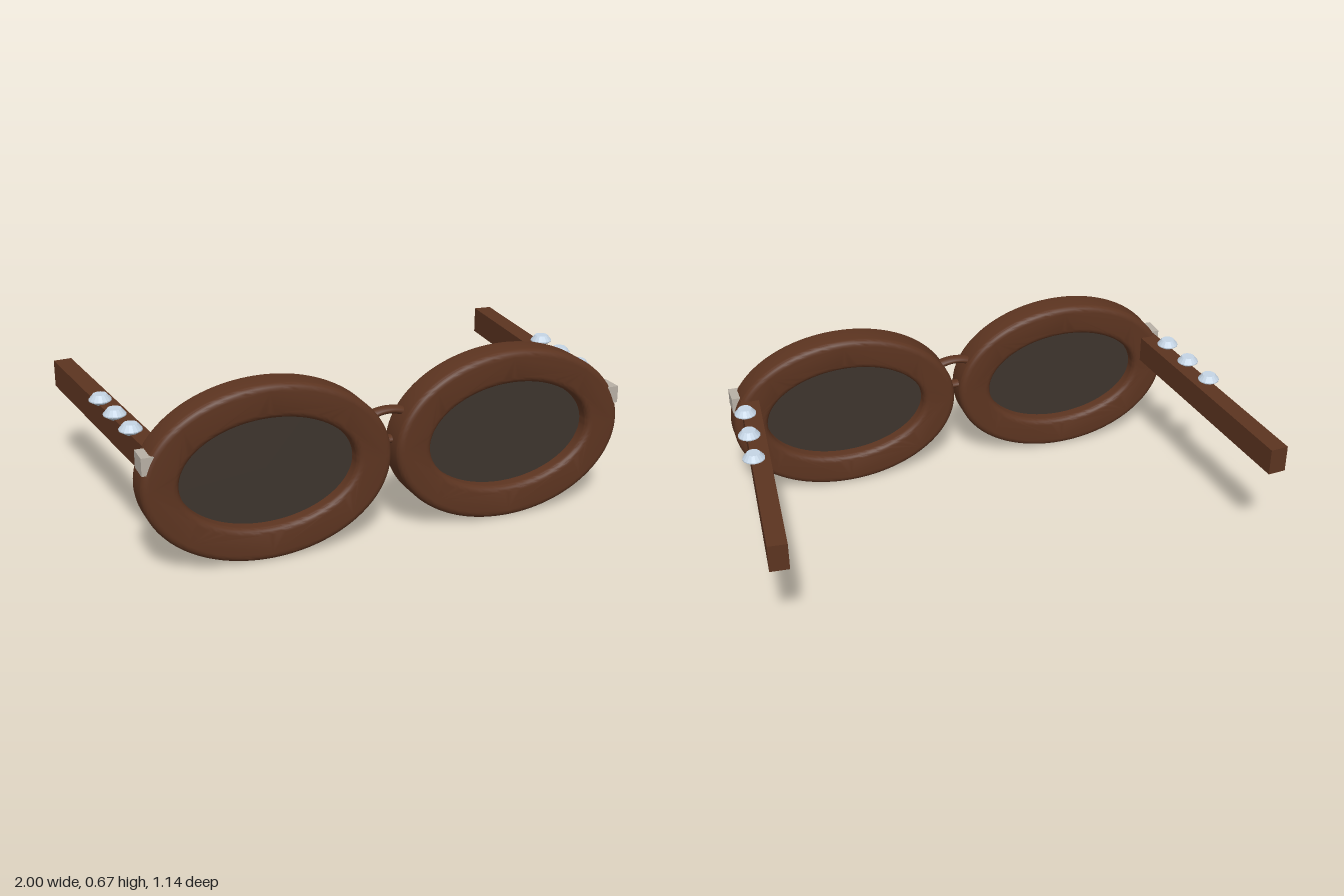
import * as THREE from 'three';
import { toCreasedNormals } from 'three/addons/utils/BufferGeometryUtils.js';

const wood = new THREE.MeshStandardMaterial({ color: 0x5c3420 });
const glass = new THREE.MeshStandardMaterial({ color: 0x3d342d });
const metal = new THREE.MeshStandardMaterial({ color: 0xb8b0a5 });
const crystal = new THREE.MeshStandardMaterial({ color: 0xc4d4e4, flatShading: true });

function add(parent, name, geometry, material, x = 0, y = 0, z = 0) {
  const mesh = new THREE.Mesh(geometry, material);
  mesh.name = name;
  mesh.position.set(x, y, z);
  parent.add(mesh);
  return mesh;
}

// Oval ring with rounded edges, centred on z = 0
function rimGeometry() {
  const bevel = 0.025, depth = 0.135;
  const shape = new THREE.Shape();
  shape.absellipse(0, 0, 0.467 - bevel, 0.333 - bevel, 0, Math.PI * 2);
  const hole = new THREE.Path();
  hole.absellipse(0, 0, 0.331 + bevel, 0.205 + bevel, 0, Math.PI * 2);
  shape.holes.push(hole);
  const geometry = new THREE.ExtrudeGeometry(shape, {
    depth: depth - 2 * bevel, bevelSize: bevel, bevelThickness: bevel,
    bevelSegments: 5, curveSegments: 64,
  });
  geometry.translate(0, 0, bevel - depth / 2);
  return toCreasedNormals(geometry, 0.6);
}

// Cut stone: pointed base, wide girdle, flat table
function gemGeometry() {
  const profile = [[0, -0.03], [0.043, -0.002], [0.043, 0.002], [0.026, 0.023], [0, 0.023]];
  return new THREE.LatheGeometry(profile.map(([r, y]) => new THREE.Vector2(r, y)), 16);
}

export function createModel() {
  const model = new THREE.Group();
  model.name = 'eyeglasses';
  const rim = rimGeometry();
  const gem = gemGeometry();
  const lens = new THREE.CylinderGeometry(1, 1, 0.02, 64).rotateX(Math.PI / 2).scale(0.345, 0.22, 1);
  const rimZ = 0.5025;

  for (const side of [1, -1]) {
    const label = side > 0 ? 'left' : 'right';
    add(model, label + 'Rim', rim, wood, side * 0.478, 0.333, rimZ);
    add(model, label + 'Lens', lens, glass, side * 0.478, 0.338, rimZ);
    add(model, label + 'Hinge', new THREE.BoxGeometry(0.08, 0.066, 0.088), metal, side * 0.9, 0.433, 0.522);

    // Temple arm, splayed outward toward the back
    const arm = add(model, label + 'Temple', new THREE.BoxGeometry(0.072, 0.107, 1.03), wood, side * 0.917, 0.414, -0.054);
    arm.rotation.y = -side * 0.088;

    // Row of stones along the arm
    [[0.911, 0.325], [0.926, 0.158], [0.939, -0.01]].forEach(([x, z], i) =>
      add(model, label + 'Gem' + (i + 1), gem, crystal, side * x, 0.481, z));
  }

  // Oval ring joining the rims
  const bridge = add(model, 'bridge', new THREE.TorusGeometry(0.1, 0.025, 16, 48), wood, 0, 0.422, 0.49);
  bridge.scale.y = 0.58;
  return model;
}
